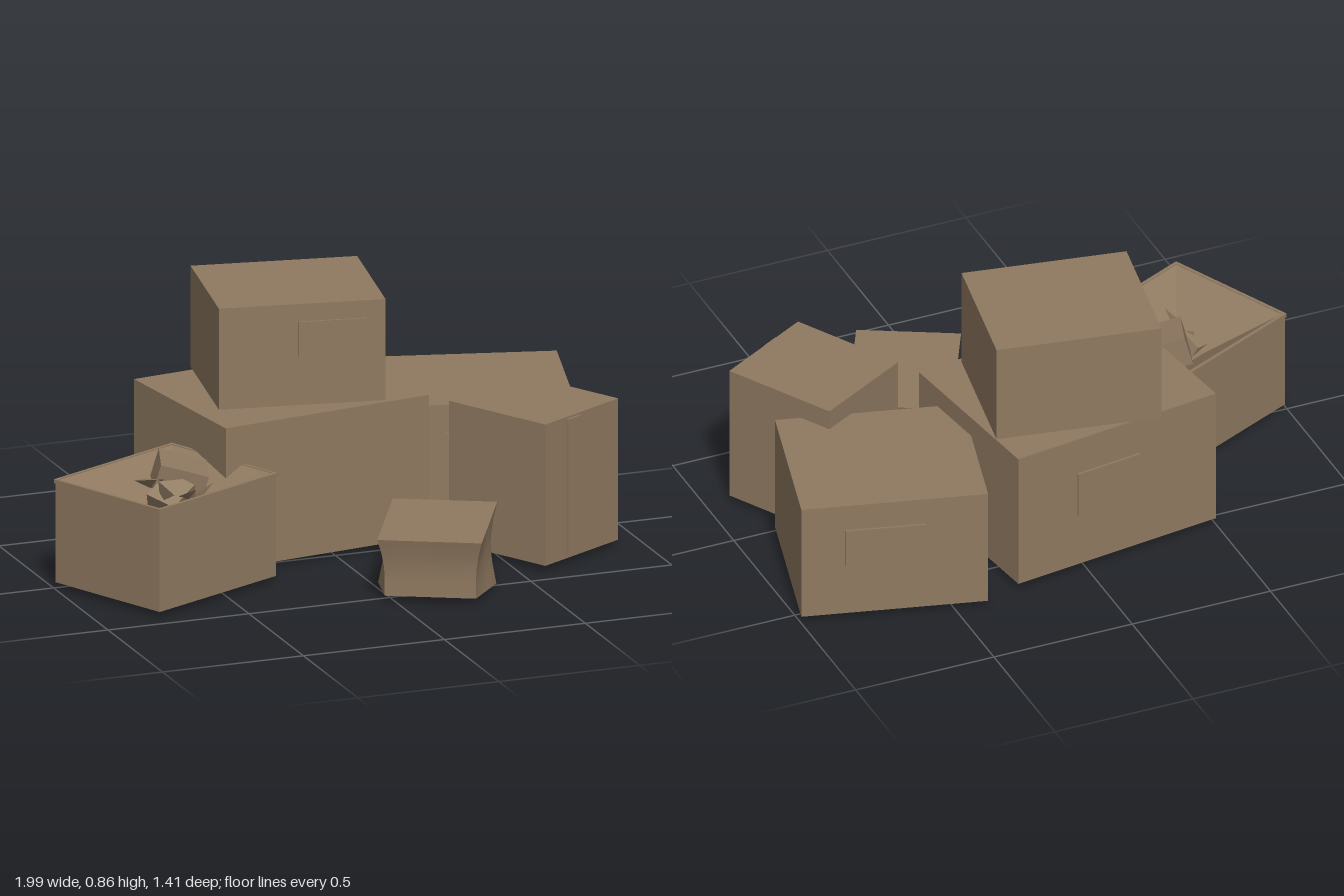
import * as THREE from 'three';

export function createModel() {
  const root = new THREE.Group();
  root.name = 'boxPile';
  const cardboard = new THREE.MeshStandardMaterial({ color: 0x8f7960, side: THREE.DoubleSide });
  cardboard.name = 'cardboard';

  function add(parent, name, geometry, x = 0, y = 0, z = 0) {
    const mesh = new THREE.Mesh(geometry, cardboard);
    mesh.name = name;
    mesh.position.set(x, y, z);
    parent.add(mesh);
    return mesh;
  }
  const block = (w, h, d) => new THREE.BoxGeometry(w, h, d);

  function place(name, x, y, z, turn) {
    const group = new THREE.Group();
    group.name = name;
    group.position.set(x, y, z);
    group.rotation.y = turn;
    root.add(group);
    return group;
  }

  // Closed cartons; plates are [name, side, x, y, width, height] on the front (+1) or back (-1)
  const cartons = [
    { name: 'largeBox', at: [-0.08, 0.265, -0.288], size: [0.768, 0.49, 0.626], turn: 0.137,
      plates: [['label', -1, 0.035, 0.03, 0.24, 0.165]] },
    { name: 'topBox', at: [-0.045, 0.685, -0.318], size: [0.562, 0.35, 0.487], turn: -0.175,
      plates: [['label', 1, 0.1, 0.055, 0.228, 0.12]] },
    { name: 'wideBox', at: [0.622, 0.23, -0.355], size: [0.626, 0.42, 0.558], turn: -0.258,
      plates: [['label', -1, 0.03, 0.048, 0.27, 0.135], ['label', 1, -0.02, 0.05, 0.2, 0.13]] },
    { name: 'tallBox', at: [0.648, 0.265, 0.143], size: [0.378, 0.49, 0.414], turn: 0.511,
      plates: [['tape', 1, -0.046, 0, 0.068, 0.475]] },
  ];
  for (const c of cartons) {
    const group = place(c.name, ...c.at, c.turn);
    add(group, 'carton', block(...c.size));
    for (const [name, side, x, y, w, h] of c.plates) {
      add(group, name, block(w, h, 0.009), x, y, side * (c.size[2] / 2 + 0.004));
    }
  }

  // Open carton: floor, walls with a thin lip, and flaps folded inward
  const W = 0.556, D = 0.478;
  const open = place('openBox', -0.64, 0, 0.099, 0.437);
  add(open, 'floor', block(W, 0.01, D), 0, 0.025, 0);
  for (const s of [-1, 1]) {
    add(open, 'sideWall', block(0.008, 0.35, D), s * (W / 2 - 0.004), 0.197, 0);
    add(open, 'endWall', block(W, 0.35, 0.008), 0, 0.197, s * (D / 2 - 0.004));
    add(open, 'sideLip', block(0.012, 0.014, D + 0.008), s * (W / 2 - 0.002), 0.37, 0);
    add(open, 'endLip', block(W + 0.008, 0.014, 0.012), 0, 0.37, s * (D / 2 - 0.002));
  }
  const flaps = new THREE.CylinderGeometry(Math.SQRT1_2, 0.15, 0.14, 4, 1, true)
    .rotateY(Math.PI / 4).scale(W - 0.012, 1, D - 0.012).toNonIndexed();
  flaps.computeVertexNormals();
  add(open, 'foldedFlaps', flaps, 0, 0.306, 0);
  add(open, 'innerFloor', block(0.16, 0.01, 0.14), 0, 0.24, 0);

  // Contents of the open carton: a tilted small box and paper scraps
  const parcel = add(root, 'parcel', block(0.165, 0.1, 0.155), -0.56, 0.345, 0.02);
  parcel.rotation.set(0.08, -0.32, -0.25);
  const second = add(root, 'secondParcel', block(0.12, 0.08, 0.11), -0.62, 0.3, 0.1);
  second.rotation.set(0.3, 0.6, 0.3);
  const scraps = [
    [-0.6, 0.34, 0.2, 0.2], [-0.66, 0.34, 0.17, 1.6], [-0.66, 0.345, 0.04, 2.7], [-0.52, 0.33, 0.15, 4],
  ];
  for (const [x, y, z, turn] of scraps) {
    const scrap = add(root, 'paperScrap', new THREE.ConeGeometry(0.04, 0.12, 3).scale(1, 1, 0.35).toNonIndexed(), x, y, z);
    scrap.geometry.computeVertexNormals();
    scrap.rotation.set(1.1, turn, 0.3);
  }

  // Crushed carton: narrow waist, corners drawn in, long sides bulging and sagging
  const w = 0.348, d = 0.466, h = 0.2;
  const crushed = new THREE.BoxGeometry(w, h, d, 4, 4, 6);
  const p = crushed.attributes.position;
  for (let i = 0; i < p.count; i++) {
    const u = p.getX(i) / (w / 2), v = p.getZ(i) / (d / 2);
    const low = 0.5 - p.getY(i) / h;
    const waist = Math.sin(Math.min(1, low * 1.5) * Math.PI / 2);
    const middle = 1 - Math.abs(v);
    const bulge = -0.022 * waist + 0.045 * low * middle;
    const sag = (u < 0 ? 0.019 : 0.01) * low * middle * Math.abs(u);
    p.setXYZ(i, p.getX(i) + u * bulge, p.getY(i) - sag, p.getZ(i) - v * 0.025 * waist);
  }
  crushed.computeVertexNormals();
  add(place('crushedBox', 0.2, 0.12, 0.418, -0.48), 'crushedCarton', crushed);

  return root;
}
